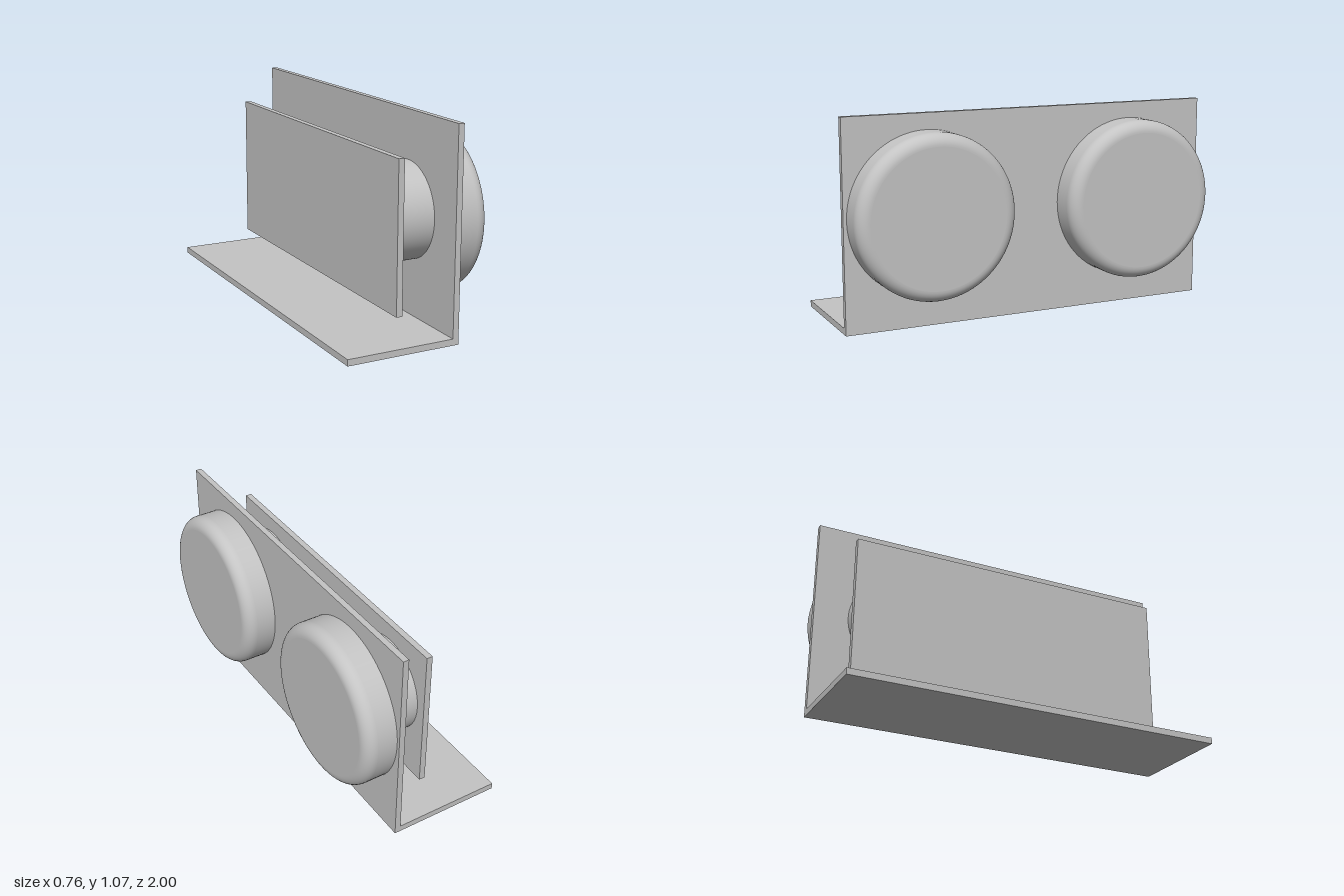
import * as THREE from 'three';

export function createModel() {
  const group = new THREE.Group();
  const grey = new THREE.MeshStandardMaterial({ color: 0xc4c4c4 });
  grey.name = 'plain grey';

  const add = (name, geometry, x, y, z) => {
    const mesh = new THREE.Mesh(geometry, grey);
    mesh.name = name;
    mesh.position.set(x, y, z);
    group.add(mesh);
  };

  // L-shaped bracket: base flange and upright plate, extruded along z
  const profile = new THREE.Shape([
    [-0.383, 0], [0.214, 0], [0.214, 1.068], [0.183, 1.068], [0.183, 0.033], [-0.383, 0.033],
  ].map(([x, y]) => new THREE.Vector2(x, y)));
  add('bracket', new THREE.ExtrudeGeometry(profile, { depth: 2, bevelEnabled: false }), 0, 0, -1);

  // Rear clamping plate
  add('rearPlate', new THREE.BoxGeometry(0.032, 0.767, 1.734), -0.034, 0.519, 0);

  // Round cap with a filleted outer rim, turned so its axis points to +x
  const r = 0.416, h = 0.168, fillet = 0.062;
  const points = [new THREE.Vector2(r, 0), new THREE.Vector2(r, h - fillet - 0.001)];
  for (let i = 0; i <= 12; i++) {
    const a = (i / 12) * Math.PI / 2;
    points.push(new THREE.Vector2(r - fillet + fillet * Math.cos(a), h - fillet + fillet * Math.sin(a)));
  }
  points.push(new THREE.Vector2(r - fillet - 0.001, h), new THREE.Vector2(0, h));
  const cap = new THREE.LatheGeometry(points, 96).rotateZ(-Math.PI / 2);

  // Spacer between the two plates
  const spacer = new THREE.CylinderGeometry(0.249, 0.249, 0.201, 96).rotateZ(-Math.PI / 2);

  for (const [side, s] of [['front', 1], ['back', -1]]) {
    add(side + 'Cap', cap, 0.214, 0.569, s * 0.567);
    add(side + 'Spacer', spacer, 0.0825, 0.569, s * 0.567);
  }
  return group;
}
